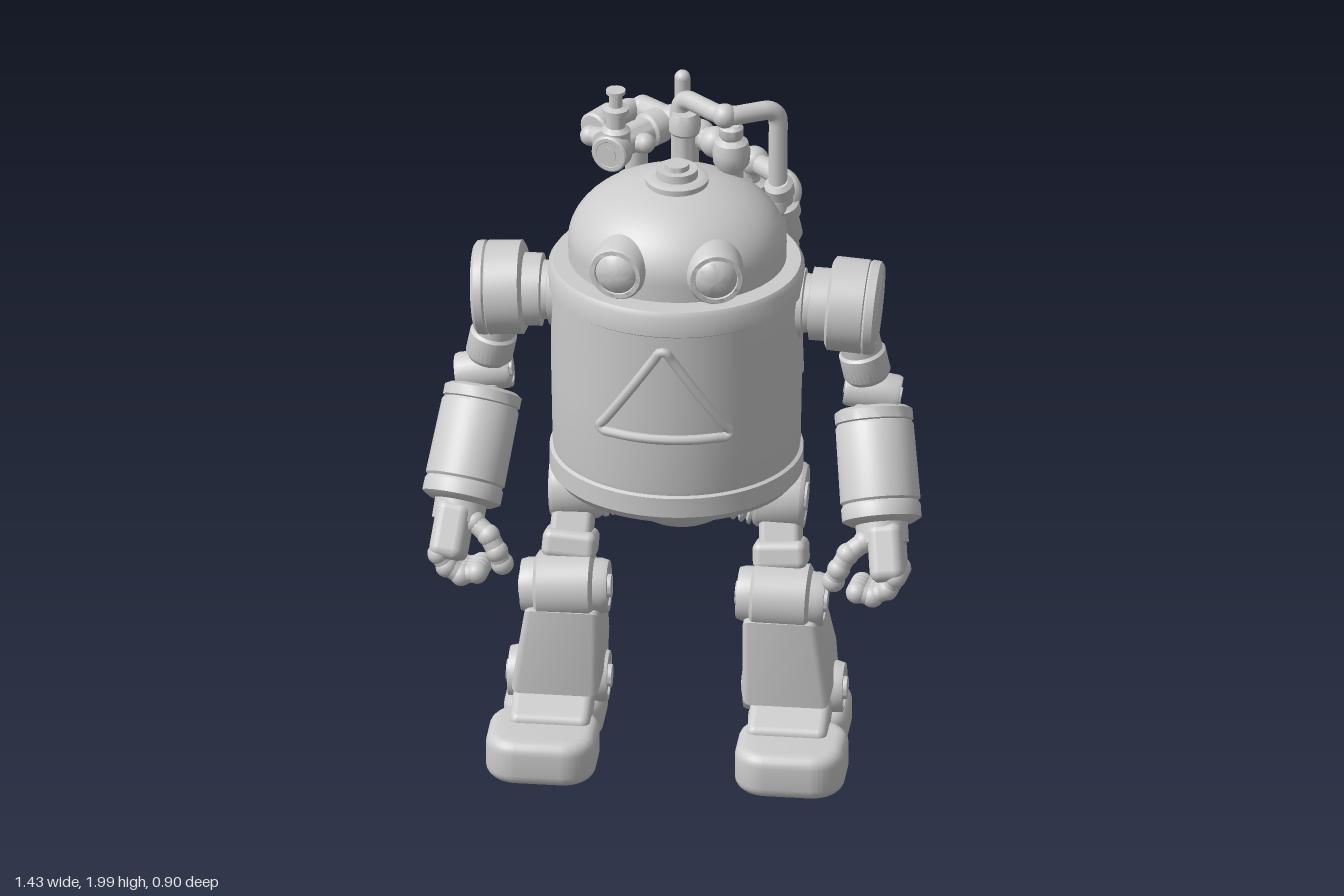
import * as THREE from 'three';
import { toCreasedNormals } from 'three/addons/utils/BufferGeometryUtils.js';
import { RoundedBoxGeometry } from 'three/addons/geometries/RoundedBoxGeometry.js';

const grey = new THREE.MeshStandardMaterial({ color: 0xcccccc });
grey.name = 'light grey metal';
const V = (x, y, z) => new THREE.Vector3(x, y, z);

function add(parent, name, geo) {
  const m = new THREE.Mesh(geo, grey);
  m.name = name;
  parent.add(m);
  return m;
}

// Turned part from a to b; profile is [radius, fraction of length]
function turned(parent, name, a, b, profile, seg = 32) {
  const len = a.distanceTo(b);
  const pts = [[0, profile[0][1]], ...profile, [0, profile[profile.length - 1][1]]]
    .map(([r, t]) => new THREE.Vector2(r, t * len));
  const m = add(parent, name, toCreasedNormals(new THREE.LatheGeometry(pts, seg), 0.6));
  m.position.copy(a);
  m.quaternion.setFromUnitVectors(V(0, 1, 0), b.clone().sub(a).normalize());
  return m;
}

// Drum with softened rims and a stepped hub on both faces
const drum = (r) => [[r * 0.42, -0.03], [r * 0.42, 0.02], [r * 0.7, 0.02], [r * 0.72, 0],
  [r * 0.92, 0], [r, 0.08], [r, 0.92], [r * 0.92, 1], [r * 0.72, 1], [r * 0.7, 0.98],
  [r * 0.42, 0.98], [r * 0.42, 1.03]];
const rod = (r) => [[r * 0.85, 0], [r, 0.06], [r, 0.94], [r * 0.85, 1]];

function box(parent, name, size, pos, radius = 0.02, rot = [0, 0, 0]) {
  const m = add(parent, name, new RoundedBoxGeometry(...size, 4, radius));
  m.position.set(...pos);
  m.rotation.set(...rot);
}

// Flat-lying pad: corners rounded by r in plan, top and bottom edges softened
function pad(parent, name, [w, h, d], r, [x, y, z]) {
  const b = 0.035, hw = w / 2 - b, hd = d / 2 - b, s = new THREE.Shape();
  s.absarc(hw - r, hd - r, r, 0, Math.PI / 2);
  s.absarc(r - hw, hd - r, r, Math.PI / 2, Math.PI);
  s.absarc(r - hw, r - hd, r, Math.PI, Math.PI * 1.5);
  s.absarc(hw - r, r - hd, r, Math.PI * 1.5, Math.PI * 2);
  const geo = new THREE.ExtrudeGeometry(s, { depth: h - 2 * b, bevelSize: b, bevelThickness: b, bevelSegments: 5 });
  geo.translate(0, 0, b - h / 2).rotateX(-Math.PI / 2);
  add(parent, name, toCreasedNormals(geo, 0.7)).position.set(x, y, z);
}

function ball(parent, name, r, pos) {
  add(parent, name, new THREE.SphereGeometry(r, 16, 12)).position.set(...pos);
}

// Pipe with rounded bends and ball ends
function pipe(parent, name, pts, r, bend = 0.05) {
  const p = pts.map((q) => V(...q));
  const path = new THREE.CurvePath();
  let last = p[0];
  for (let i = 1; i < p.length - 1; i++) {
    const near = (q) => p[i].clone().add(q.clone().sub(p[i]).setLength(Math.min(bend, q.distanceTo(p[i]) * 0.45)));
    const inP = near(p[i - 1]), outP = near(p[i + 1]);
    path.add(new THREE.LineCurve3(last, inP));
    path.add(new THREE.QuadraticBezierCurve3(inP, p[i], outP));
    last = outP;
  }
  path.add(new THREE.LineCurve3(last, p[p.length - 1]));
  add(parent, name, new THREE.TubeGeometry(path, 24 * p.length, r, 12));
  ball(parent, name + 'End', r, pts[0]);
  ball(parent, name + 'End', r, pts[pts.length - 1]);
}

function buildBody(g) {
  turned(g, 'barrelBody', V(0, 0, 0.07), V(0, 1, 0.07), [[0.28, 0.85], [0.325, 0.86],
    [0.345, 0.885], [0.345, 0.945], [0.335, 0.95], [0.337, 0.965], [0.341, 1.2], [0.341, 1.46],
    [0.348, 1.465], [0.348, 1.525], [0.338, 1.54], [0.31, 1.54]], 64).scale.x = 1.05;
  // Dome
  const dome = [[0.296, 1.52], [0.297, 1.59]];
  for (let i = 1; i <= 14; i++) {
    const a = (i / 14) * Math.PI / 2;
    dome.push([0.297 * Math.cos(a) + 0.001, 1.59 + 0.2 * Math.sin(a)]);
  }
  turned(g, 'domeHead', V(0, 0, 0.05), V(0, 1, 0.05), dome, 64).scale.x = 1.05;
  turned(g, 'domeCap', V(0, 0, 0.06), V(0, 1, 0.06), [[0.09, 1.76], [0.09, 1.795], [0.075, 1.802],
    [0.06, 1.802], [0.058, 1.825], [0.036, 1.825], [0.034, 1.84]]);
  // Eyes
  for (const s of [-1, 1]) {
    turned(g, 'eye', V(s * 0.115, 1.62, 0.2), V(s * 0.146, 1.62, 0.35), [[0.088, 0], [0.082, 0.9],
      [0.075, 0.98], [0.062, 0.98], [0.06, 0.94], [0.056, 0.98], [0.038, 1.06], [0.015, 1.1]]);
  }
  // Triangular chest frame folded over the barrel, standing proud at its apex
  const corners = [[0, 1.43], [0.195, 1.135], [-0.195, 1.135]], ring = [];
  corners.forEach((c, i) => {
    const n = corners[(i + 1) % 3];
    for (let k = 0; k < 12; k++) {
      const t = 0.04 + (k / 11) * 0.92;
      const x = c[0] + (n[0] - c[0]) * t, y = c[1] + (n[1] - c[1]) * t;
      const surface = 0.07 + 0.346 * Math.sqrt(1 - (x / 0.363) ** 2);
      ring.push(V(x, y, Math.max(surface, 0.355 + (y - 1.135) * 0.24)));
    }
  });
  add(g, 'chestTriangle', new THREE.TubeGeometry(new THREE.CatmullRomCurve3(ring, true), 120, 0.014, 8, true));
  // Pelvis
  const pelvis = add(g, 'pelvis', new THREE.SphereGeometry(1, 40, 24));
  pelvis.scale.set(0.21, 0.21, 0.145);
  pelvis.position.set(0, 0.86, -0.005);
}

function buildArm(g, s) {
  const P = (x, y, z) => V(s * x, y, z);
  const arm = new THREE.Group();
  arm.name = s > 0 ? 'leftArm' : 'rightArm';
  g.add(arm);
  turned(arm, 'shoulderCollar', P(0.3, 1.41, 0.05), P(0.46, 1.405, 0.05),
    [[0.1, 0], [0.1, 0.4], [0.085, 0.42], [0.085, 0.52], [0.105, 0.54], [0.105, 1]]);
  turned(arm, 'shoulderDrum', P(0.435, 1.41, 0.045), P(0.58, 1.4, 0.045),
    [[0.12, 0], [0.135, 0.06], [0.135, 0.72], [0.13, 0.74], [0.136, 0.78], [0.134, 0.94], [0.122, 1],
      [0.102, 1], [0.098, 0.96], [0.094, 1], [0.06, 1.03]], 40);
  turned(arm, 'upperArm', P(0.515, 1.32, 0.04), P(0.545, 1.17, 0.03), [[0.06, 0], [0.06, 0.4], [0.068, 0.45], [0.068, 0.9], [0.058, 1]]);
  turned(arm, 'elbowPin', P(0.48, 1.135, 0.02), P(0.635, 1.11, 0.02), drum(0.058));
  box(arm, 'elbowBlock', [0.1, 0.13, 0.1], [s * 0.555, 1.1, 0.02], 0.02, [-0.4, 0, s * 0.15]);
  turned(arm, 'forearm', P(0.558, 1.065, 0.02), P(0.605, 0.79, 0.205), [[0.095, 0], [0.112, 0.03],
    [0.112, 0.12], [0.106, 0.13], [0.112, 0.16], [0.115, 0.8], [0.108, 0.82], [0.114, 0.85], [0.114, 0.96], [0.09, 1]], 40);
  // Hand with curled fingers and a thumb
  turned(arm, 'wrist', P(0.6, 0.82, 0.19), P(0.61, 0.74, 0.235), rod(0.075));
  box(arm, 'palm', [0.1, 0.17, 0.18], [s * 0.625, 0.715, 0.24], 0.03, [-0.55, 0, s * 0.12]);
  for (let i = 0; i < 4; i++) {
    const z = 0.19 + i * 0.043, y = i * 0.012;
    [[0.655, 0.645], [0.632, 0.605], [0.59, 0.58], [0.545, 0.59]].forEach(([x, yy], k, all) => {
      ball(arm, 'knuckle', 0.032, [s * x, yy + y, z]);
      if (k) turned(arm, 'fingerBone', P(all[k - 1][0], all[k - 1][1] + y, z), P(x, yy + y, z), rod(0.027), 12);
    });
  }
  const thumb = [[0.56, 0.76, 0.26], [0.515, 0.73, 0.285], [0.49, 0.685, 0.295], [0.475, 0.645, 0.29]];
  thumb.forEach((t, k) => {
    ball(arm, 'thumbJoint', 0.033, [s * t[0], t[1], t[2]]);
    if (k) turned(arm, 'thumbBone', P(...thumb[k - 1]), P(...t), rod(0.029), 12);
  });
}

function buildLeg(g, s) {
  const P = (x, y, z) => V(s * x, y, z);
  const leg = new THREE.Group();
  leg.name = s > 0 ? 'leftLeg' : 'rightLeg';
  g.add(leg);
  // Ribbed hip sleeve
  const ribs = [];
  for (let i = 0; i <= 5; i++) ribs.push([0.078, i / 5], [0.092, i / 5 + 0.06], [0.092, i / 5 + 0.13]);
  turned(leg, 'hipSleeve', P(0.1, 0.8, 0.005), P(0.215, 0.77, 0.01), ribs);
  turned(leg, 'hipDrum', P(0.22, 0.77, 0.01), P(0.365, 0.765, 0.01), drum(0.098));
  box(leg, 'thigh', [0.12, 0.2, 0.1], [s * 0.3, 0.65, 0.075], 0.02, [-0.45, 0, s * 0.06]);
  box(leg, 'thighCuff', [0.155, 0.085, 0.13], [s * 0.302, 0.62, 0.09], 0.025, [-0.3, 0, s * 0.06]);
  turned(leg, 'kneeDrum', P(0.185, 0.515, 0.145), P(0.435, 0.505, 0.145), drum(0.08));
  turned(leg, 'kneeBand', P(0.225, 0.513, 0.145), P(0.395, 0.507, 0.145), rod(0.1));
  // Shin with a calf bulge, leaning outwards lower down
  const side = new THREE.Shape([[0.22, 0.45], [0.02, 0.46], [-0.035, 0.29], [0, 0.225], [0.22, 0.225]]
    .map(([z, y]) => new THREE.Vector2(z, y)));
  const geo = new THREE.ExtrudeGeometry(side, { depth: 0.18, bevelSize: 0.02, bevelThickness: 0.02, bevelSegments: 3 });
  geo.translate(0, 0, -0.09).rotateY(-Math.PI / 2);
  const p = geo.attributes.position;
  for (let i = 0; i < p.count; i++) {
    const t = (0.47 - p.getY(i)) / 0.27;
    p.setX(i, p.getX(i) * (0.96 + 0.2 * t) + s * (0.312 + 0.02 * t));
  }
  add(leg, 'shin', toCreasedNormals(geo, 0.6));
  turned(leg, 'anklePin', P(0.195, 0.18, 0.055), P(0.48, 0.18, 0.055), drum(0.078));
  // Foot
  pad(leg, 'toe', [0.315, 0.135, 0.28], 0.06, [s * 0.357, 0.077, 0.308]);
  pad(leg, 'heel', [0.285, 0.122, 0.34], 0.08, [s * 0.35, 0.071, 0.035]);
  pad(leg, 'sole', [0.26, 0.1, 0.46], 0.06, [s * 0.355, 0.062, 0.17]);
  box(leg, 'instep', [0.23, 0.09, 0.17], [s * 0.34, 0.145, 0.22], 0.025, [0.35, 0, 0]);
}

function buildPack(g) {
  const pack = new THREE.Group();
  pack.name = 'backpack';
  g.add(pack);
  // Twin tanks
  for (const s of [-1, 1]) {
    const x = s * 0.16;
    turned(pack, 'tank', V(x, 0, -0.325), V(x, 1, -0.325), [[0.02, 1.03], [0.035, 1.04], [0.035, 1.06],
      [0.05, 1.065], [0.05, 1.085], [0.085, 1.09], [0.106, 1.105], [0.106, 1.15], [0.101, 1.155], [0.101, 1.48],
      [0.106, 1.485], [0.106, 1.52], [0.09, 1.54], [0.06, 1.545], [0.055, 1.59], [0.035, 1.6], [0.03, 1.64]], 40);
    turned(pack, 'tankBolt', V(x, 1.3, -0.4), V(x, 1.3, -0.45), drum(0.06));
    box(pack, 'tankMount', [0.1, 0.3, 0.12], [x * 0.9, 1.3, -0.23], 0.02);
  }
  for (const y of [1.4, 1.2]) box(pack, 'strap', [0.44, 0.09, 0.022], [0, y, -0.428], 0.01);
  // Main feed pipe and its hanging hose
  pipe(pack, 'feedPipe', [[-0.02, 1.86, -0.16], [-0.01, 1.94, -0.16], [0.125, 1.945, -0.035], [0.27, 1.94, -0.12],
    [0.27, 1.62, -0.115]], 0.028);
  ball(pack, 'feedJoint', 0.036, [0.125, 1.945, -0.045]);
  turned(pack, 'hoseCoupling', V(0.27, 1.71, -0.11), V(0.3, 1.49, -0.185), [[0.03, 0], [0.042, 0.05], [0.042, 0.2],
    [0.032, 0.24], [0.032, 0.34], [0.046, 0.38], [0.046, 0.55], [0.036, 0.6], [0.036, 0.92], [0.026, 1]], 24);
  pipe(pack, 'hangingHose', [[0.3, 1.52, -0.18], [0.31, 1.05, -0.225]], 0.022);
  for (const z of [-0.235, -0.29]) pipe(pack, 'sideCapsule', [[0.285, 1.5, z], [0.285, 1.37, z]], 0.02);
  pipe(pack, 'leftTankPipe', [[0.16, 1.6, -0.325], [0.17, 1.67, -0.315], [0.31, 1.67, -0.17], [0.29, 1.6, -0.14]], 0.03);
  ball(pack, 'pipeElbow', 0.043, [0.18, 1.67, -0.305]);
  // Right tank pipe and valve manifold
  pipe(pack, 'rightTankPipe', [[-0.16, 1.6, -0.325], [-0.16, 1.82, -0.325], [-0.25, 1.82, -0.18]], 0.033);
  turned(pack, 'pipeCollar', V(-0.215, 1.82, -0.235), V(-0.265, 1.82, -0.155), rod(0.05), 24);
  turned(pack, 'valveBarrel', V(-0.225, 1.815, -0.035), V(-0.08, 1.82, -0.21), [[0.03, 0], [0.03, 0.05], [0.055, 0.06],
    [0.055, 0.25], [0.043, 0.28], [0.043, 0.75], [0.052, 0.78], [0.052, 1]], 28);
  turned(pack, 'valveCap', V(-0.19, 1.815, -0.06), V(-0.205, 1.815, -0.015), drum(0.055), 24);
  pipe(pack, 'valveBranch', [[-0.27, 1.815, -0.13], [-0.11, 1.815, -0.1]], 0.03);
  turned(pack, 'chimney', V(-0.19, 1.83, -0.065), V(-0.19, 2, -0.065), [[0.042, 0], [0.042, 0.25], [0.028, 0.32],
    [0.028, 0.55], [0.038, 0.58], [0.038, 0.66], [0.02, 0.7], [0.02, 0.92], [0.028, 0.94], [0.028, 1]], 20);
  pipe(pack, 'crossPipe', [[-0.14, 1.82, -0.31], [-0.05, 1.82, -0.24], [0.06, 1.82, -0.14], [0.14, 1.82, -0.08]], 0.036);
  for (const [x, z] of [[-0.05, -0.24], [0.04, -0.16], [0.09, -0.12]]) ball(pack, 'pipeJoint', 0.046, [x, 1.82, z]);
  turned(pack, 'domeValve', V(0.14, 1.73, -0.08), V(0.14, 1.9, -0.08), [[0.035, 0], [0.035, 0.15], [0.052, 0.3],
    [0.055, 0.5], [0.048, 0.68], [0.03, 0.75], [0.035, 0.8], [0.035, 0.95], [0.025, 1]], 24);
  turned(pack, 'domeFitting', V(0, 1.74, -0.14), V(0, 1.9, -0.14), [[0.04, 0], [0.04, 0.6], [0.046, 0.65], [0.046, 0.85], [0.035, 1]], 24);
  pipe(pack, 'ventStub', [[-0.025, 1.68, -0.295], [-0.025, 1.93, -0.295]], 0.023);
}

export function createModel() {
  const g = new THREE.Group();
  g.name = 'robot';
  buildBody(g);
  for (const s of [-1, 1]) {
    buildArm(g, s);
    buildLeg(g, s);
  }
  buildPack(g);
  return g;
}
